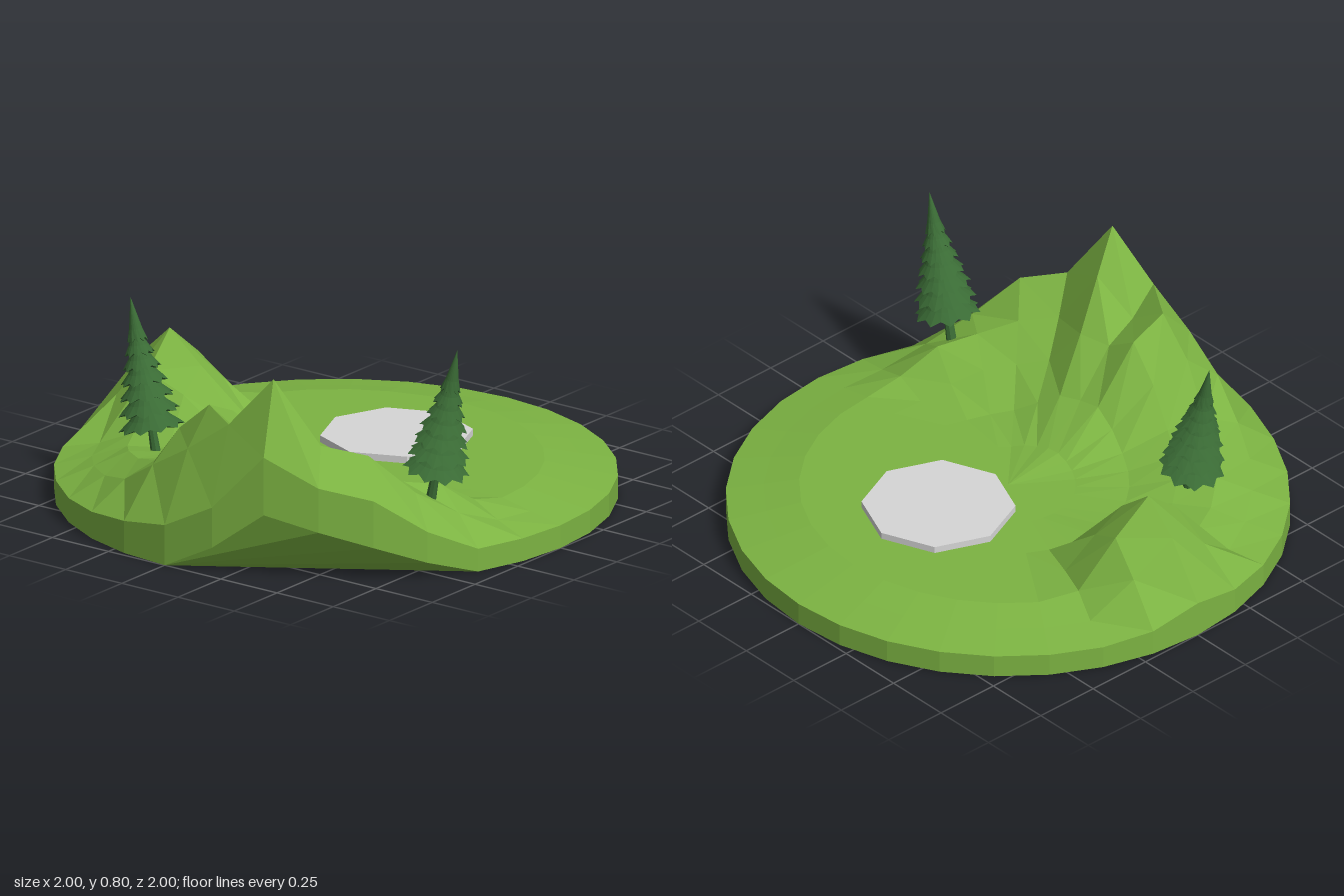
import * as THREE from 'three';

const SECTORS = 32;
const RADII = [1, 0.865, 0.74, 0.6, 0.43, 0.24];
const GROUND = [0.085, 0.11, 0.135, 0.135, 0.135, 0.135];

// Ridge cross-sections, rim to middle, for sectors -5 to 7 (sector 0 points to -x)
const RIDGE_START = -5;
const RIDGE = [
  [0.085, 0.12, 0.16, 0.155],
  [0.09, 0.14, 0.19, 0.18, 0.14],
  [0.09, 0.16, 0.21, 0.2, 0.15],
  [0.1, 0.2, 0.25, 0.23, 0.17, 0.14],
  [0.12, 0.3, 0.41, 0.35, 0.22, 0.15],
  [0.15, 0.4, 0.53, 0.47, 0.27, 0.16],
  [0.25, 0.52, 0.44, 0.4, 0.26, 0.16],
  [0.46, 0.71, 0.57, 0.41, 0.25, 0.15],
  [0.355, 0.47, 0.36, 0.27, 0.2, 0.145],
  [0.305, 0.43, 0.33, 0.24, 0.16],
  [0.175, 0.28, 0.28, 0.22, 0.145],
  [0.085, 0.18, 0.25, 0.18],
  [0.085, 0.12, 0.165, 0.14],
];
// Underside lifted below the high peak
const LIFT = [0, 0.1, 0.245, 0.19, 0.13, 0.06];

function polar(s, r, y) {
  const a = (s / SECTORS) * Math.PI * 2;
  return [-r * Math.cos(a), y, r * Math.sin(a)];
}

function topPoint(s, ring) {
  s %= SECTORS;
  const row = RIDGE[(s - RIDGE_START + SECTORS) % SECTORS];
  const p = polar(s, RADII[ring], row?.[ring] ?? GROUND[ring]);
  // Round hill at the back
  const d = Math.hypot(p[0], p[2] + 0.74);
  if (d < 0.35) p[1] += 0.165 * (1 + Math.cos((Math.PI * d) / 0.35));
  return p;
}

function bottomPoint(s) {
  s %= SECTORS;
  return polar(s, 1, LIFT[s] ?? 0);
}

function terrainGeometry() {
  const pos = [];
  const tri = (...pts) => pts.forEach((p) => pos.push(...p));
  const quad = (a, b, c, d) => { tri(a, c, d); tri(a, d, b); };
  const inner = RADII.length - 1;
  for (let s = 0; s < SECTORS; s++) {
    // Middle fan, rings, outer wall, underside
    tri([0, 0.135, 0], topPoint(s, inner), topPoint(s + 1, inner));
    for (let i = inner; i > 0; i--) {
      quad(topPoint(s, i), topPoint(s + 1, i), topPoint(s, i - 1), topPoint(s + 1, i - 1));
    }
    quad(topPoint(s, 0), topPoint(s + 1, 0), bottomPoint(s), bottomPoint(s + 1));
    if (s > 0 && s < SECTORS - 1) tri(bottomPoint(0), bottomPoint(s + 1), bottomPoint(s));
  }
  const g = new THREE.BufferGeometry();
  g.setAttribute('position', new THREE.Float32BufferAttribute(pos, 3));
  g.computeVertexNormals();
  return g;
}

// One skirt of branches with a scalloped lower edge
function tierGeometry(radius, height, lobes = 10) {
  const profile = [[0, 0.025], [1, 0], [0.62, 0.28], [0.3, 0.65], [0, 1]];
  const g = new THREE.LatheGeometry(
    profile.map(([r, h]) => new THREE.Vector2(r * radius, h * height)), lobes * 2);
  const p = g.attributes.position;
  const n = profile.length;
  for (let i = 0; i < p.count; i++) {
    const column = Math.floor(i / n);
    if (i % n === 1 && column % 2) {
      p.setXYZ(i, p.getX(i) * 0.85, p.getY(i) + 0.013, p.getZ(i) * 0.85);
    }
  }
  g.computeVertexNormals();
  return g;
}

function makeTree(name, material) {
  const tree = new THREE.Group();
  tree.name = name;
  const trunk = new THREE.Mesh(new THREE.CylinderGeometry(0.012, 0.019, 0.18, 8), material);
  trunk.name = 'trunk';
  trunk.position.y = 0.06;
  tree.add(trunk);
  const radii = [0.12, 0.112, 0.1, 0.086, 0.07, 0.055, 0.038];
  radii.forEach((r, i) => {
    const y = 0.085 + i * 0.058 - i * i * 0.0008;
    const height = i === radii.length - 1 ? 0.565 - y : 0.13;
    const tier = new THREE.Mesh(tierGeometry(r, height), material);
    tier.name = 'branches';
    tier.position.y = y;
    tier.rotation.y = i * 0.8;
    tree.add(tier);
  });
  return tree;
}

export function createModel() {
  const mat = (name, color) => {
    const m = new THREE.MeshStandardMaterial({ color, flatShading: true });
    m.name = name;
    return m;
  };
  const grass = mat('grass green', 0x7cb342);
  const pine = mat('pine green', 0x3a6b35);
  const stone = mat('light grey', 0xd6d6d6);

  const model = new THREE.Group();
  model.name = 'hillyIsland';

  const terrain = new THREE.Mesh(terrainGeometry(), grass);
  terrain.name = 'terrain';
  model.add(terrain);

  // Octagonal slab
  const slab = new THREE.Mesh(new THREE.CylinderGeometry(0.273, 0.273, 0.04, 8), stone);
  slab.name = 'slab';
  slab.position.set(0.285, 0.14, 0.052);
  model.add(slab);

  // Two trees leaning outwards
  const front = makeTree('frontTree', pine);
  front.position.set(-0.37, 0.25, 0.71);
  front.rotation.x = 0.2;
  const back = makeTree('backTree', pine);
  back.position.set(-0.43, 0.175, -0.475);
  back.rotation.x = -0.2;
  model.add(front, back);

  return model;
}
